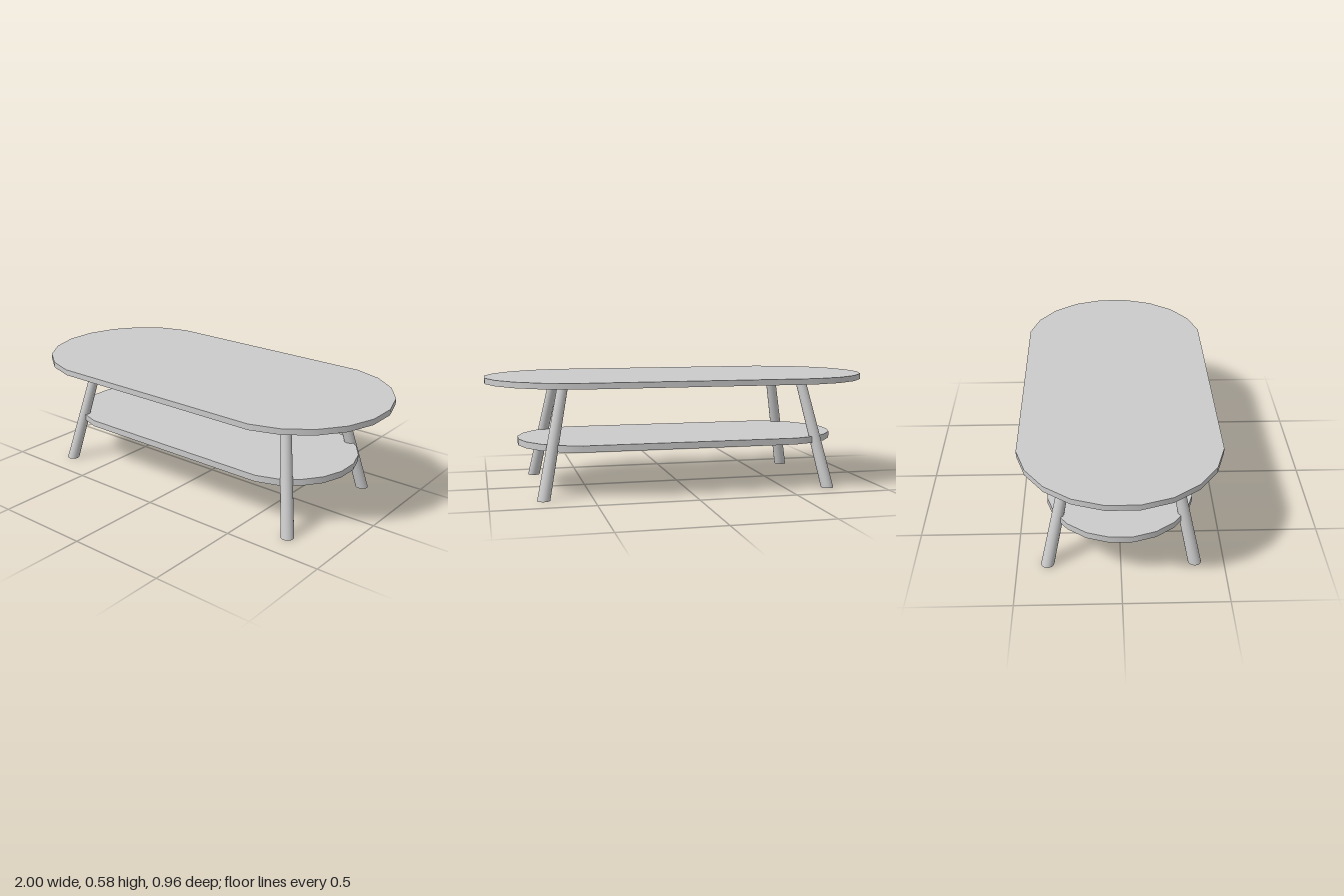
import * as THREE from 'three';

const material = new THREE.MeshStandardMaterial({ color: 0xcccccc });

// Stadium-shaped board: a 20-sided disc split in half and pulled apart along x
function board(name, radius, stretch, bottom, top) {
  const geometry = new THREE.CylinderGeometry(radius, radius, top - bottom, 20, 1, false, Math.PI / 20);
  const pos = geometry.attributes.position;
  for (let i = 0; i < pos.count; i++) {
    const x = pos.getX(i);
    if (Math.abs(x) > 1e-6) pos.setX(i, x + Math.sign(x) * stretch);
  }
  const mesh = new THREE.Mesh(geometry, material);
  mesh.name = name;
  mesh.position.y = (bottom + top) / 2;
  return mesh;
}

// Tapered leg, sheared so that it leans but keeps level ends
function leg(name, foot, head, height) {
  const geometry = new THREE.CylinderGeometry(0.027, 0.032, height, 20);
  geometry.translate(0, height / 2, 0);
  const leanX = (head[0] - foot[0]) / height;
  const leanZ = (head[1] - foot[1]) / height;
  geometry.applyMatrix4(new THREE.Matrix4().makeShear(0, 0, leanX, leanZ, 0, 0));
  const mesh = new THREE.Mesh(geometry, material);
  mesh.name = name;
  mesh.position.set(foot[0], 0, foot[1]);
  return mesh;
}

export function createModel() {
  const table = new THREE.Group();
  table.name = 'coffeeTable';

  table.add(board('tableTop', 0.487, 0.519, 0.549, 0.578));
  table.add(board('lowerShelf', 0.356, 0.488, 0.23, 0.263));

  // Four splayed legs: name, foot (x, z), head (x, z)
  const legs = [
    ['frontLeftLeg', [0.74, 0.352], [0.626, 0.232]],
    ['backLeftLeg', [0.74, -0.34], [0.626, -0.22]],
    ['frontRightLeg', [-0.722, 0.358], [-0.609, 0.239]],
    ['backRightLeg', [-0.722, -0.354], [-0.609, -0.235]],
  ];
  for (const [name, foot, head] of legs) table.add(leg(name, foot, head, 0.55));

  return table;
}
